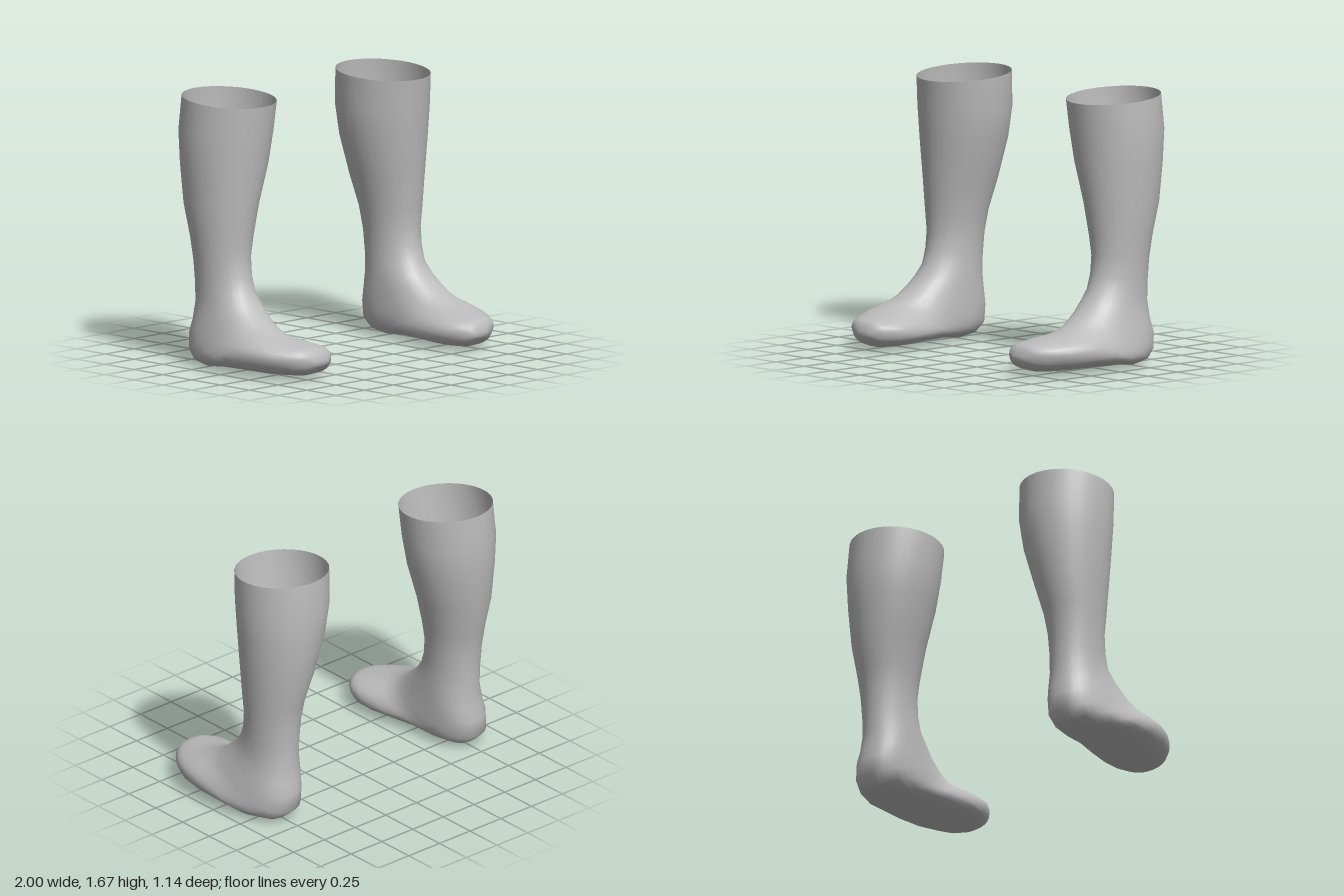
import * as THREE from 'three';

// Cross-sections from cuff to toe:
// [front z, front y, back z, back y, inner x, outer x]
const SECTIONS = [
  [0.04, 1.63, -0.555, 1.675, 0.38, 0.955],
  [0.02, 1.45, -0.57, 1.45, 0.39, 0.967],
  [0.0, 1.25, -0.555, 1.25, 0.425, 0.957],
  [-0.03, 1.0, -0.52, 1.0, 0.5, 0.937],
  [-0.05, 0.8, -0.465, 0.8, 0.55, 0.915],
  [-0.06, 0.68, -0.44, 0.65, 0.572, 0.9],
  [-0.045, 0.57, -0.43, 0.5, 0.58, 0.893],
  [-0.015, 0.48, -0.43, 0.38, 0.578, 0.893],
  [0.03, 0.41, -0.435, 0.27, 0.575, 0.905],
  [0.09, 0.355, -0.455, 0.19, 0.575, 0.925],
  [0.15, 0.31, -0.448, 0.08, 0.57, 0.945],
  [0.2, 0.28, -0.38, 0.02, 0.57, 0.965],
  [0.25, 0.26, -0.25, 0.0, 0.57, 0.988],
  [0.3, 0.24, -0.1, 0.015, 0.555, 1.0],
  [0.36, 0.225, 0.08, 0.018, 0.52, 0.997],
  [0.43, 0.21, 0.25, 0.015, 0.505, 0.965],
  [0.49, 0.2, 0.37, 0.015, 0.515, 0.915],
  [0.535, 0.19, 0.46, 0.02, 0.55, 0.865],
  [0.56, 0.17, 0.525, 0.04, 0.585, 0.81],
  [0.572, 0.125, 0.562, 0.08, 0.63, 0.75],
];
const SEGMENTS = 32;

// Rounded power that squares an ellipse off a little
const soften = (v, e) => Math.sign(v) * Math.pow(Math.abs(v), e);

function sockGeometry(side) {
  const pos = [], index = [];
  SECTIONS.forEach(([fz, fy, bz, by, xi, xo], r) => {
    const e = r < 8 ? 1 : 0.85; // the foot is fuller than the leg
    const cx = side * (xi + xo) / 2, hx = (xo - xi) / 2;
    for (let i = 0; i < SEGMENTS; i++) {
      const t = (i / SEGMENTS) * Math.PI * 2;
      const k = (soften(Math.cos(t), e) + 1) / 2;
      pos.push(cx + hx * soften(Math.sin(t), e), by + (fy - by) * k, bz + (fz - bz) * k);
    }
  });
  // Walls between neighbouring sections
  for (let r = 0; r < SECTIONS.length - 1; r++) {
    for (let i = 0; i < SEGMENTS; i++) {
      const j = (i + 1) % SEGMENTS;
      const a = r * SEGMENTS + i, b = r * SEGMENTS + j;
      const c = a + SEGMENTS, d = b + SEGMENTS;
      index.push(a, c, b, b, c, d);
    }
  }
  // Closed toe tip
  const last = (SECTIONS.length - 1) * SEGMENTS, tip = pos.length / 3;
  pos.push(side * 0.69, 0.1, 0.572);
  for (let i = 0; i < SEGMENTS; i++) index.push(last + i, tip, last + ((i + 1) % SEGMENTS));

  const g = new THREE.BufferGeometry();
  g.setAttribute('position', new THREE.Float32BufferAttribute(pos, 3));
  g.setIndex(index);
  g.computeVertexNormals();
  return g;
}

export function createModel() {
  const group = new THREE.Group();
  group.name = 'pairOfSocks';
  const fabric = new THREE.MeshStandardMaterial({ color: 0xbcbcbc, side: THREE.DoubleSide });
  fabric.name = 'grey fabric';
  for (const [name, side] of [['leftSock', 1], ['rightSock', -1]]) {
    const sock = new THREE.Mesh(sockGeometry(side), fabric);
    sock.name = name;
    group.add(sock);
  }
  return group;
}
